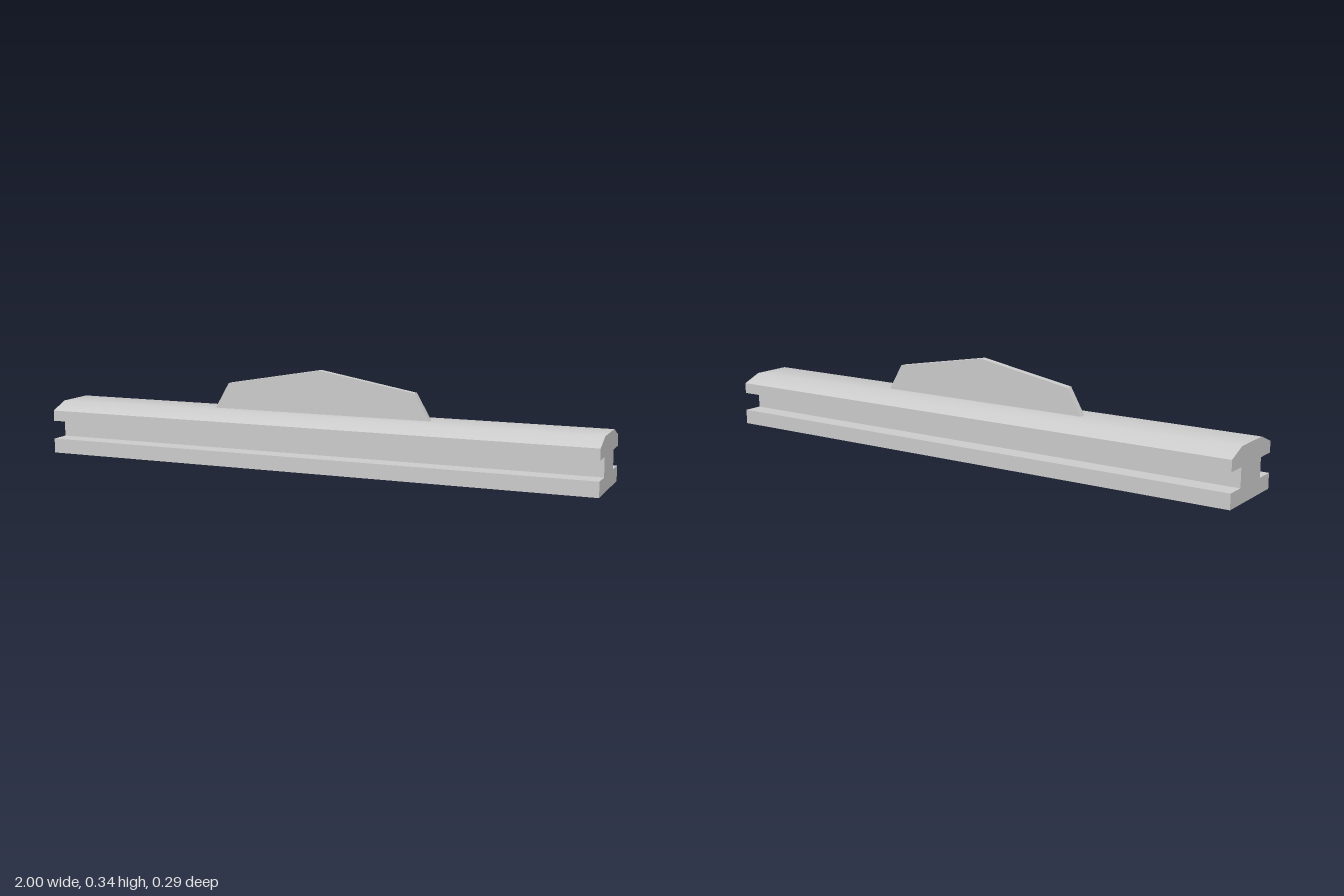
import * as THREE from 'three';
import { toCreasedNormals } from 'three/addons/utils/BufferGeometryUtils.js';

const material = new THREE.MeshStandardMaterial({ color: 0xcccccc });

// Extrudes the right half of an outline, mirrored to the left, centred along z
function extrudeMirrored(half, depth) {
  const mirrored = half.filter(([x]) => x > 0).map(([x, y]) => [-x, y]).reverse();
  const outline = [...half, ...mirrored].map(([x, y]) => new THREE.Vector2(x, y));
  const geometry = new THREE.ExtrudeGeometry(new THREE.Shape(outline), { depth, bevelEnabled: false });
  return geometry.translate(0, 0, -depth / 2);
}

export function createModel() {
  const group = new THREE.Group();
  group.name = 'finnedRail';

  // Rail: wide foot, narrow web and chamfered head, softly shaded over the top
  const railProfile = [
    [0.143, 0], [0.143, 0.052], [0.073, 0.052], [0.073, 0.118],
    [0.143, 0.118], [0.143, 0.156], [0.073, 0.184],
  ];
  const railGeometry = extrudeMirrored(railProfile, 2).rotateY(Math.PI / 2);
  const rail = new THREE.Mesh(toCreasedNormals(railGeometry, 0.6), material);
  rail.name = 'rail';
  group.add(rail);

  // Fin: thin upright plate with a shallow peak
  const finProfile = [[0.4, 0.184], [0.348, 0.275], [0, 0.336]];
  const fin = new THREE.Mesh(extrudeMirrored(finProfile, 0.025), material);
  fin.name = 'fin';
  group.add(fin);

  return group;
}
